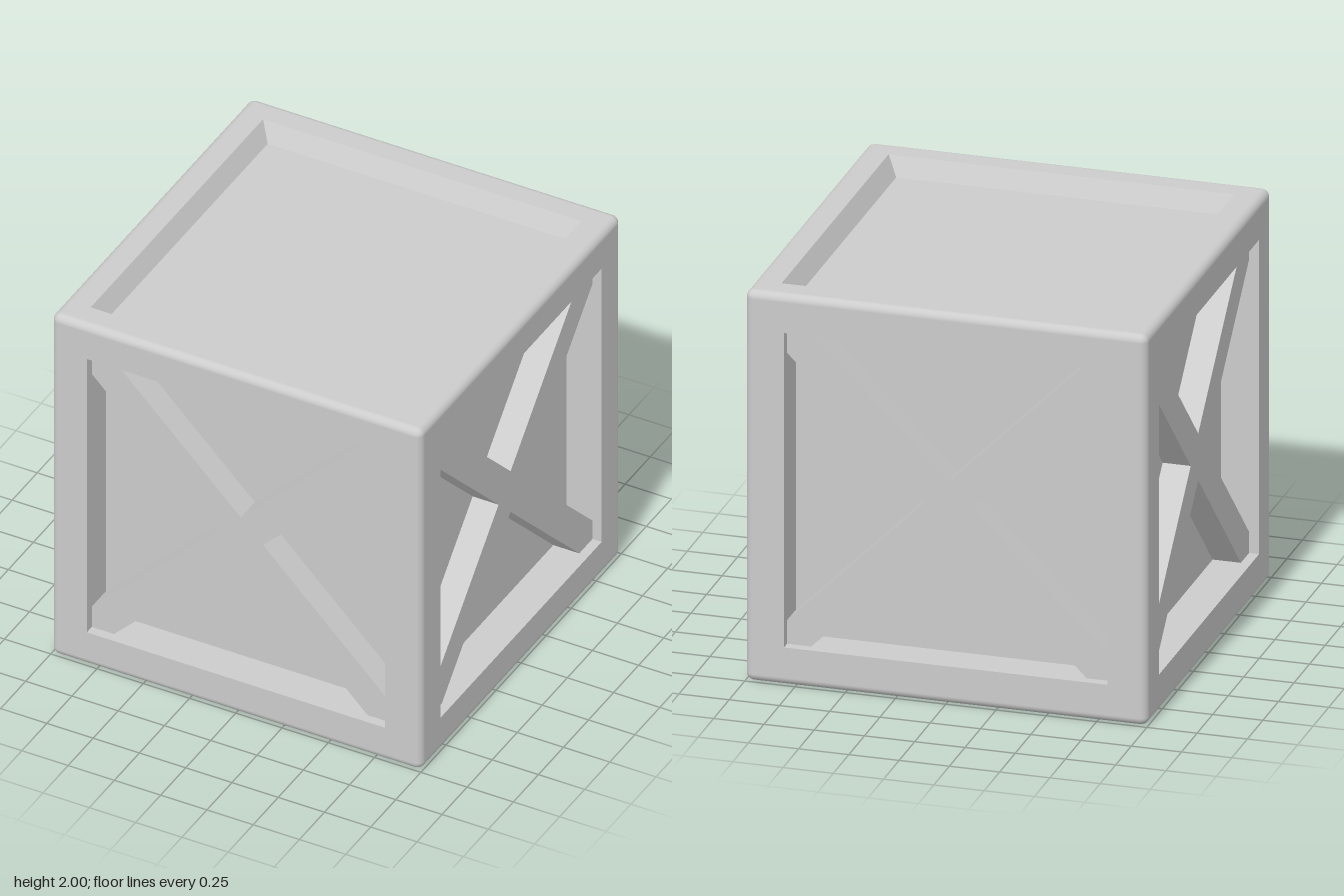
import * as THREE from 'three';

const R = 0.04;              // rounding of the outer edges
const FLAT = 1 - R;          // where the rounding starts
const INNER = 0.805;         // half width of the recessed panels
const mat = new THREE.MeshStandardMaterial({ color: 0xcccccc });
const flatInside = new THREE.MeshStandardMaterial({ color: 0xcccccc, flatShading: true, side: THREE.BackSide });

// One face of a rounded cube (facing +z) with a square opening of half width h
function frameFaceGeometry(h) {
  const outer = [h];
  for (let i = 0; i <= 4; i++) outer.push(FLAT + R * Math.tan((i / 4) * Math.PI / 4));
  const t = [...outer.map((v) => -v).reverse(), ...outer];
  const n = t.length, hole = outer.length - 1;
  const pos = [], nor = [], idx = [];
  for (const y of t) {
    for (const x of t) {
      const p = new THREE.Vector3(x, y, 1);
      const core = p.clone().clampScalar(-FLAT, FLAT);
      const normal = p.sub(core).normalize();
      nor.push(...normal.toArray());
      pos.push(...core.addScaledVector(normal, R).toArray());
    }
  }
  for (let j = 0; j < n - 1; j++) {
    for (let i = 0; i < n - 1; i++) {
      if (i === hole && j === hole) continue;
      const a = j * n + i, b = a + 1, c = a + n, d = c + 1;
      idx.push(a, b, d, a, d, c);
    }
  }
  const g = new THREE.BufferGeometry();
  g.setAttribute('position', new THREE.Float32BufferAttribute(pos, 3));
  g.setAttribute('normal', new THREE.Float32BufferAttribute(nor, 3));
  g.setIndex(idx);
  return g;
}

// Four walls leading from the opening down to the panel
function recessGeometry(h, depth) {
  const g = new THREE.CylinderGeometry(h * Math.SQRT2, INNER * Math.SQRT2, depth, 4, 1, true);
  return g.rotateY(Math.PI / 4).rotateX(Math.PI / 2).translate(0, 0, 1 - depth / 2);
}

// Crossed diagonal boards filling the opening corner to corner, shifted by s
function braceGeometry(s) {
  const a = INNER, w = 0.12, e = a - w;
  const pts = [
    [w + s, 0], [a, e - s], [a, a], [e + s, a],
    [s, w], [-e + s, a], [-a, a], [-a, e + s],
    [-w + s, 0], [-a, -e - s], [-a, -a], [-e + s, -a],
    [s, -w], [e + s, -a], [a, -a], [a, -e + s],
  ];
  const shape = new THREE.Shape(pts.map(([x, y]) => new THREE.Vector2(x, y)));
  return new THREE.ExtrudeGeometry(shape, { depth: 0.15, bevelEnabled: false }).translate(0, 0, 0.8);
}

function add(parent, name, geometry, material = mat) {
  const mesh = new THREE.Mesh(geometry, material);
  mesh.name = name;
  parent.add(mesh);
}

export function createModel() {
  const crate = new THREE.Group();
  crate.name = 'crate';

  // Inner box whose faces are the recessed panels
  const body = new THREE.Group();
  body.position.y = 1;
  crate.add(body);
  add(body, 'panels', new THREE.BoxGeometry(1.62, 1.82, 1.62));

  // Four braced sides
  ['front', 'left', 'back', 'right'].forEach((name, i) => {
    const side = new THREE.Group();
    side.name = name + 'Side';
    side.rotation.y = i * Math.PI / 2;
    add(side, 'frame', frameFaceGeometry(INNER));
    add(side, 'recessWalls', recessGeometry(INNER, 0.19), flatInside);
    add(side, 'crossBrace', braceGeometry(i % 2 ? -0.012 : 0));
    body.add(side);
  });

  // Lid and base with a shallow sloped recess
  [['lid', -1], ['base', 1]].forEach(([name, dir]) => {
    const face = new THREE.Group();
    face.name = name;
    face.rotation.x = dir * Math.PI / 2;
    add(face, 'frame', frameFaceGeometry(0.86));
    add(face, 'recessWalls', recessGeometry(0.86, 0.09), flatInside);
    body.add(face);
  });

  return crate;
}
